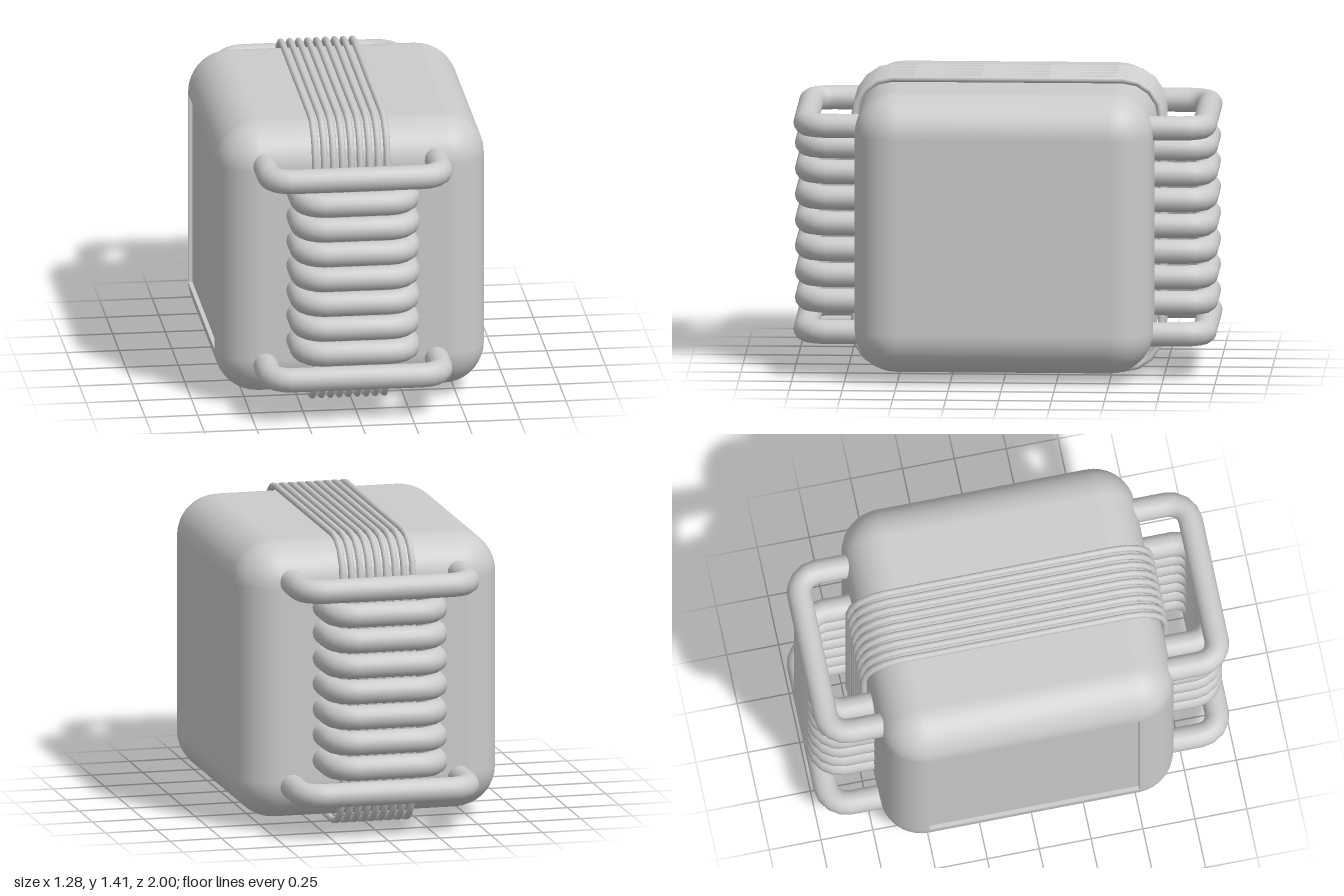
import * as THREE from 'three';
import { RoundedBoxGeometry } from 'three/addons/geometries/RoundedBoxGeometry.js';

const grey = new THREE.MeshStandardMaterial({ color: 0xcccccc });
const inside = new THREE.MeshStandardMaterial({ color: 0xcccccc, side: THREE.BackSide });

// Curve that visits exactly the given points, with averaged tangents at the bends
class PointPath extends THREE.Curve {
  constructor(points, closed) {
    super();
    this.points = points;
    this.closed = closed;
    this.steps = closed ? points.length : points.length - 1;
  }
  at(i) {
    const n = this.points.length;
    return this.points[this.closed ? (i + n) % n : Math.min(Math.max(i, 0), n - 1)];
  }
  getPointAt(u, target = new THREE.Vector3()) {
    return target.copy(this.at(Math.round(u * this.steps)));
  }
  getTangentAt(u, target = new THREE.Vector3()) {
    const i = Math.round(u * this.steps);
    const before = this.at(i).clone().sub(this.at(i - 1)).normalize();
    const after = this.at(i + 1).clone().sub(this.at(i)).normalize();
    return target.copy(before).add(after).normalize();
  }
}

function tube(name, points, radius, closed, sides) {
  const path = new PointPath(points, closed);
  const mesh = new THREE.Mesh(new THREE.TubeGeometry(path, path.steps, radius, sides, closed), grey);
  mesh.name = name;
  return mesh;
}

// Points of a quarter-circle bend starting at the given angle
function bend(cx, cy, r, start, turn, steps, toPoint) {
  return Array.from({ length: steps + 1 }, (_, i) => {
    const a = start + (turn * i * Math.PI) / (2 * steps);
    return toPoint(cx + r * Math.cos(a), cy + r * Math.sin(a));
  });
}

// Staple-shaped rod standing out of the front (side 1) or back (side -1)
function staple(name, halfWidth, y, side) {
  const r = 0.1, out = 0.942, root = 0.64, midX = -0.0145;
  const p = (x, z) => new THREE.Vector3(midX + x, y, side * z);
  return tube(name, [
    p(-halfWidth, root),
    ...bend(-halfWidth + r, out - r, r, Math.PI, -1, 4, p),
    ...bend(halfWidth - r, out - r, r, Math.PI / 2, -1, 4, p),
    p(halfWidth, root),
  ], 0.058, false, 16);
}

// Rounded block whose flat -x face is sunk inward as a panel
function buildBody() {
  const body = new THREE.Group();
  body.name = 'body';
  const w = 1.28, h = 1.336, d = 1.41, r = 0.2, depth = 0.02;
  const source = new RoundedBoxGeometry(w, h, d, 5, r);
  const pos = source.attributes.position, nor = source.attributes.normal;
  const p = [], n = [];
  for (let t = 0; t < pos.count; t += 3) {
    const corners = [t, t + 1, t + 2];
    if (corners.every((i) => pos.getX(i) < -w / 2 + 1e-4)) continue; // opening for the panel
    for (const i of corners) {
      p.push(pos.getX(i), pos.getY(i), pos.getZ(i));
      n.push(nor.getX(i), nor.getY(i), nor.getZ(i));
    }
  }
  const shellGeometry = new THREE.BufferGeometry();
  shellGeometry.setAttribute('position', new THREE.Float32BufferAttribute(p, 3));
  shellGeometry.setAttribute('normal', new THREE.Float32BufferAttribute(n, 3));
  const shell = new THREE.Mesh(shellGeometry, grey);
  shell.name = 'shell';

  // Recess: a shallow box seen from inside, without its outer lid
  const recess = new THREE.BoxGeometry(depth, h - 2 * r, d - 2 * r);
  const index = Array.from(recess.index.array);
  index.splice(6, 6);
  recess.clearGroups();
  recess.setIndex(index);
  const panel = new THREE.Mesh(recess, inside);
  panel.name = 'recessedPanel';
  panel.position.x = -w / 2 + depth / 2;

  body.add(shell, panel);
  body.position.y = 0.712;
  return body;
}

export function createModel() {
  const model = new THREE.Group();
  model.name = 'woundBlock';
  model.add(buildBody());

  // Rods on front and back: wide handles at top and bottom, short coils between
  for (const side of [1, -1]) {
    const rods = new THREE.Group();
    rods.name = side > 0 ? 'frontRods' : 'backRods';
    for (let i = 0; i < 9; i++) {
      const handle = i === 0 || i === 8;
      rods.add(staple(handle ? 'handle' : 'coil', handle ? 0.407 : 0.251, 0.222 + i * 0.1233, side));
    }
    model.add(rods);
  }

  // Thin wires wrapped lengthwise around the block
  const wires = new THREE.Group();
  wires.name = 'wires';
  const r = 0.18, halfZ = 0.725, halfY = 0.69, midZ = -0.006, midY = 0.707;
  const corners = [[1, 1], [-1, 1], [-1, -1], [1, -1]];
  for (let i = 0; i < 9; i++) {
    const x = -0.187 + i * 0.0426;
    const toPoint = (z, y) => new THREE.Vector3(x, midY + y, midZ + z);
    const points = corners.flatMap(([sz, sy], k) =>
      bend(sz * (halfZ - r), sy * (halfY - r), r, (k * Math.PI) / 2, 1, 4, toPoint));
    wires.add(tube('wire', points, 0.016, true, 10));
  }
  model.add(wires);
  return model;
}
